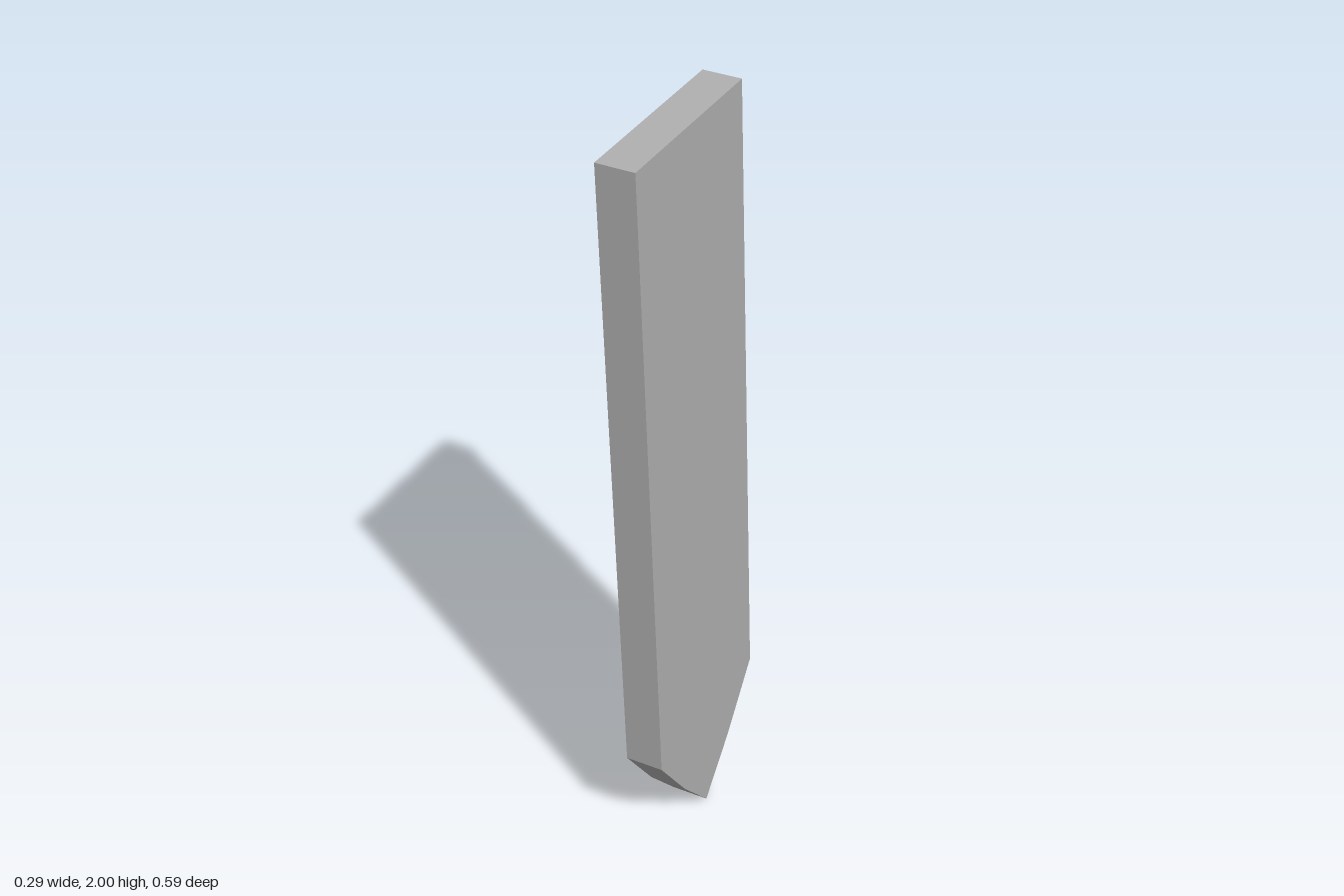
import * as THREE from 'three';

export function createModel() {
  const group = new THREE.Group();
  const grey = new THREE.MeshStandardMaterial({ color: 0xb0b0b0 });
  grey.name = 'plank grey';

  // Leaning plank outline with a tapered point at the foot
  const outline = [
    [-0.05, 0], [0.07, 0.13], [0.195, 0.293], [0.293, 2],
    [-0.195, 2], [-0.295, 0.293], [-0.17, 0.13],
  ].map(([x, y]) => new THREE.Vector2(x, y));

  const thickness = 0.097;
  const geometry = new THREE.ExtrudeGeometry(new THREE.Shape(outline), {
    depth: thickness,
    bevelEnabled: false,
  });
  geometry.translate(0, 0, -thickness / 2);

  // Turn the broad faces mostly sideways
  const plank = new THREE.Mesh(geometry, grey);
  plank.name = 'pointedPlank';
  plank.rotation.y = THREE.MathUtils.degToRad(-70);
  group.add(plank);
  return group;
}
